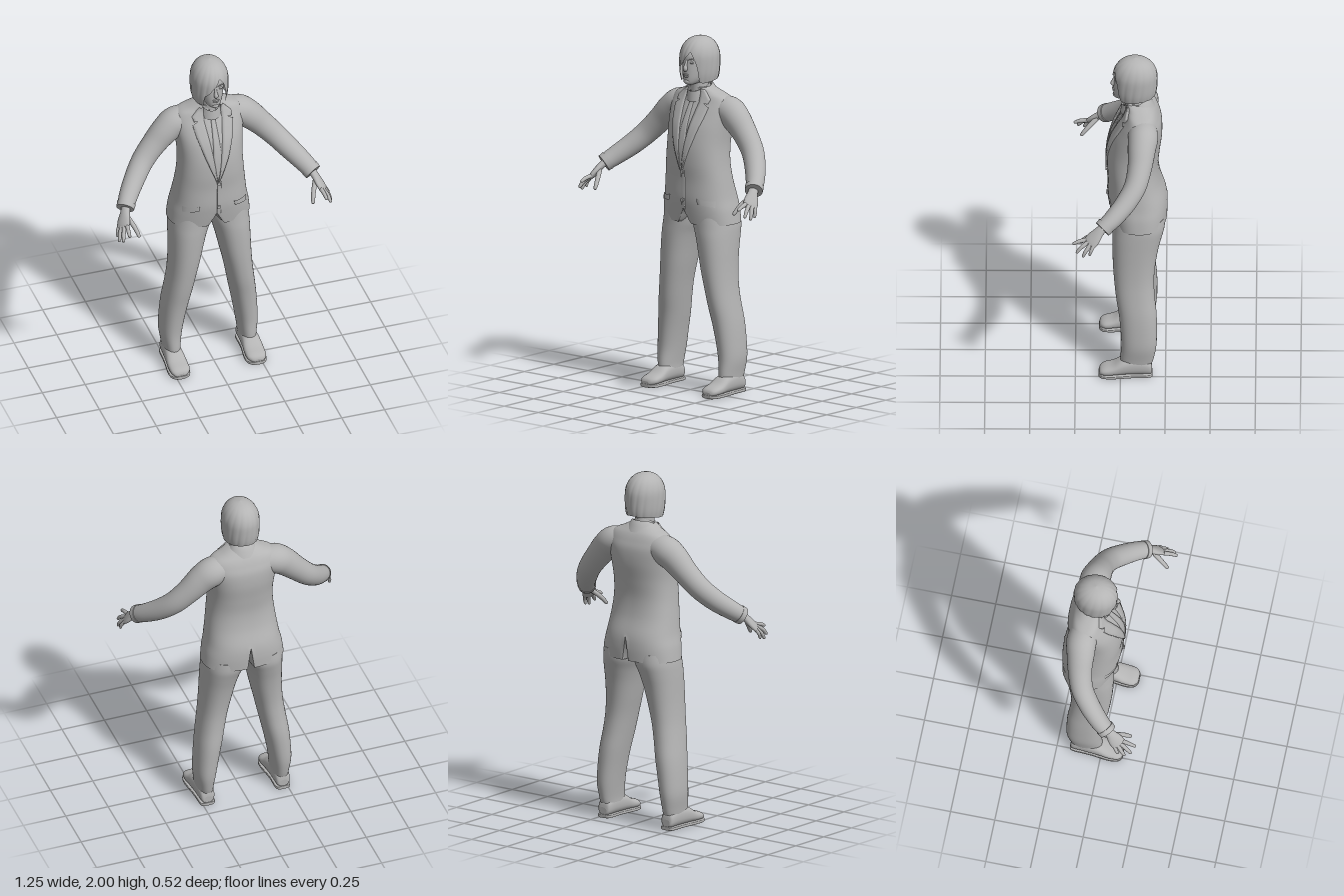
import * as THREE from 'three';

const cloth = new THREE.MeshStandardMaterial({ color: 0xb4b4b4, side: THREE.DoubleSide });
cloth.name = 'plain grey';

// Catmull-Rom interpolation of rows of numbers, k steps per span
function densify(rows, k) {
  const out = [], n = rows.length - 1;
  for (let i = 0; i < n; i++) for (let s = 0; s < k; s++) {
    const t = s / k, p = rows[Math.max(i - 1, 0)], q = rows[i], r = rows[i + 1], w = rows[Math.min(i + 2, n)];
    out.push(q.map((_, c) => q[c] + 0.5 * t * (r[c] - p[c] + t * (2 * p[c] - 5 * q[c] + 4 * r[c] - w[c] + t * (3 * (q[c] - r[c]) + w[c] - p[c])))));
  }
  out.push(rows[n]);
  return out;
}

// Linear lookup in [key, value...] rows with rising keys
function lookup(rows, key) {
  let i = 0;
  while (i < rows.length - 2 && rows[i + 1][0] < key) i++;
  const t = THREE.MathUtils.clamp((key - rows[i][0]) / (rows[i + 1][0] - rows[i][0]), 0, 1);
  return rows[i].map((v, c) => v + (rows[i + 1][c] - v) * t);
}

// Skin over rings of points; closed rings wrap around, capped rings get end fans
function skin(rings, closed = true, capped = true) {
  const n = rings[0].length, pos = rings.flat(2), idx = [];
  for (let i = 0; i < rings.length - 1; i++) for (let j = 0; j < (closed ? n : n - 1); j++) {
    const a = i * n + j, b = i * n + (j + 1) % n;
    idx.push(a, b, b + n, a, b + n, a + n);
  }
  if (capped) [rings[0], rings[rings.length - 1]].forEach((ring, e) => {
    const base = pos.length / 3;
    pos.push(...ring.flat(), ...[0, 1, 2].map(c => ring.reduce((s, p) => s + p[c], 0) / n));
    for (let j = 0; j < n; j++) {
      const a = base + j, b = base + (j + 1) % n;
      idx.push(...(e ? [a, b, base + n] : [b, a, base + n]));
    }
  });
  const P = i => new THREE.Vector3(pos[3 * i], pos[3 * i + 1], pos[3 * i + 2]);
  let volume = 0;
  if (closed) for (let i = 0; i < idx.length; i += 3) volume += P(idx[i]).dot(P(idx[i + 1]).cross(P(idx[i + 2])));
  if (volume < 0) idx.reverse();
  const g = new THREE.BufferGeometry();
  g.setAttribute('position', new THREE.Float32BufferAttribute(pos, 3));
  g.setIndex(idx);
  g.computeVertexNormals();
  return g;
}

// Superelliptic sections: rows of [along, u0, u1, v0, v1]
function loft(rows, p = 2.3, n = 40, map = (a, u, v) => [u, a, v], k = 4, capped = true) {
  const f = v => Math.sign(v) * Math.abs(v) ** (2 / p);
  return skin(densify(rows, k).map(([a, u0, u1, v0, v1]) => Array.from({ length: n }, (_, j) => {
    const t = j / n * Math.PI * 2;
    return map(a, (u0 + u1) / 2 + (u1 - u0) / 2 * f(Math.cos(t)), (v0 + v1) / 2 + (v1 - v0) / 2 * f(Math.sin(t)));
  })), true, capped);
}

// Tapered limb: rows of [x, y, z, width radius, thickness radius]
function limb(rows, wide, n = 20, k = 5) {
  const d = densify(rows, k), V = r => new THREE.Vector3(r[0], r[1], r[2]);
  return skin(d.map((r, i) => {
    const T = V(d[Math.min(i + 1, d.length - 1)]).sub(V(d[Math.max(i - 1, 0)])).normalize();
    const W = new THREE.Vector3(...wide), N = T.clone().cross(W).normalize();
    W.crossVectors(N, T);
    return Array.from({ length: n }, (_, j) => {
      const t = j / n * Math.PI * 2;
      return V(r).addScaledVector(W, r[3] * Math.cos(t)).addScaledVector(N, r[4] * Math.sin(t)).toArray();
    });
  }));
}

// Jacket body sections: y, half width, front z, back z
const body = [[0.955, 0.235, 0.05, -0.258], [1.03, 0.225, 0.062, -0.26], [1.1, 0.21, 0.07, -0.252], [1.2, 0.197, 0.07, -0.222],
  [1.3, 0.186, 0.075, -0.21], [1.4, 0.182, 0.07, -0.218], [1.5, 0.19, 0.048, -0.23], [1.58, 0.2, 0.012, -0.228],
  [1.63, 0.198, -0.015, -0.212], [1.665, 0.175, -0.03, -0.195], [1.69, 0.12, -0.035, -0.175], [1.715, 0.07, -0.03, -0.15]];
const bodyFine = densify(body, 6);
const bodyPower = 2.4;
function frontZ(x, y) {
  const [, w, f, b] = lookup(bodyFine, y);
  return (f + b) / 2 + (f - b) / 2 * (1 - Math.min(Math.abs(x) / w, 1) ** bodyPower) ** (1 / bodyPower);
}

// Thin panel lying on the jacket front between two edges of [y, x] points (y rising)
function drape(edgeA, edgeB, lift) {
  const at = (e, t) => lookup(e, e[0][0] + (e[e.length - 1][0] - e[0][0]) * t);
  const rings = [];
  for (let i = 0; i <= 24; i++) {
    const [ya, xa] = at(edgeA, i / 24), [yb, xb] = at(edgeB, i / 24);
    rings.push([0, 0, 0.25, 0.5, 0.75, 1, 1].map((u, j) => {
      const x = xa + (xb - xa) * u, y = ya + (yb - ya) * u;
      return [x, y, frontZ(x, y) + (j % 6 ? lift : -0.003)];
    }));
  }
  return skin(rings, false, false);
}

function hairGeometry() {
  const lower = [[-3.15, 1.768], [-1.8, 1.755], [-0.95, 1.745], [-0.7, 1.75], [-0.6, 1.815], [-0.3, 1.845], [0, 1.885],
    [0.28, 1.925], [0.5, 1.89], [0.68, 1.83], [0.78, 1.75], [1, 1.745], [1.8, 1.755], [3.15, 1.768]];
  const profile = densify([[1.74, 0.87], [1.79, 0.97], [1.85, 1], [1.9, 0.98], [1.94, 0.86], [1.97, 0.66], [1.99, 0.38], [2, 0]], 4);
  const rings = [];
  for (let i = 0; i <= 32; i++) rings.push(Array.from({ length: 120 }, (_, j) => {
    const t = (j / 120 * 2 - 1) * Math.PI, s = i / 32;
    const y = 2 - (2 - lookup(lower, t)[1]) * s ** 1.6;
    const r = lookup(profile, y)[1] * (1 - 0.03 * s * Math.abs(Math.sin(8 * t + 3 * s)) ** 6);
    return [0.106 * r * Math.sin(t), y, -0.08 + 0.125 * r * Math.cos(t)];
  }));
  return skin(rings, true, false);
}

const ball = (x, y, z, a, b, c) => new THREE.SphereGeometry(1, 20, 14).scale(a, b, c).translate(x, y, z);

export function createModel() {
  const model = new THREE.Group();
  model.name = 'suitedFigure';
  const add = (name, g) => {
    const m = new THREE.Mesh(g, cloth);
    m.name = name;
    model.add(m);
  };
  const pair = (name, g) => {
    add('left' + name, g);
    const h = g.clone().scale(-1, 1, 1);
    h.setIndex(Array.from(g.index.array).reverse());
    h.computeVertexNormals();
    add('right' + name, h);
  };

  // Jacket with a front cutaway and a back vent in the hem
  add('jacket', loft(body.map(([y, w, f, b]) => [y, -w, w, b, f]), bodyPower, 120, (y, x, z) => {
    const edge = z > -0.1 ? 0.955 + 0.085 * (1 - Math.abs(x) / 0.045) : 0.955 + 0.14 * (1 - Math.abs(x) / 0.018);
    return [x, Math.max(y, edge), z];
  }, 6));
  add('shirtFront', drape([[1.28, -0.004], [1.5, -0.04], [1.7, -0.06]], [[1.28, 0.004], [1.5, 0.04], [1.7, 0.06]], 0.003));
  add('tie', drape([[1.3, -0.014], [1.42, -0.023], [1.65, -0.011]], [[1.3, 0.014], [1.42, 0.023], [1.65, 0.011]], 0.008));
  add('tieKnot', drape([[1.645, -0.01], [1.695, -0.019]], [[1.645, 0.01], [1.695, 0.019]], 0.014));
  pair('Lapel', drape([[1.26, 0.001], [1.5, 0.034], [1.655, 0.056]], [[1.26, 0.006], [1.42, 0.066], [1.55, 0.106], [1.615, 0.118]], 0.01));
  pair('CollarLeaf', drape([[1.64, 0.052], [1.71, 0.05]], [[1.632, 0.108], [1.655, 0.115], [1.705, 0.066]], 0.011));
  pair('PocketFlap', drape([[1.075, 0.105], [1.105, 0.1]], [[1.06, 0.187], [1.095, 0.185]], 0.008));
  add('frontClosure', drape([[1.04, -0.002], [1.26, -0.002]], [[1.04, 0.02], [1.26, 0.02]], 0.004));
  for (const y of [1.09, 1.25])
    add('jacketButton', new THREE.CylinderGeometry(0.011, 0.011, 0.01, 16).rotateX(Math.PI / 2).translate(0.006, y, frontZ(0, y) + 0.006));

  // Collars slope down toward the front
  const slope = (y, x, z) => [x, y - Math.max(0, z + 0.13) * 0.42, z];
  add('jacketCollar', loft([[1.675, -0.1, 0.1, -0.19, -0.01], [1.715, -0.078, 0.078, -0.168, -0.012], [1.735, -0.066, 0.066, -0.152, -0.018]], 2, 40, slope, 4, false));
  add('shirtCollar', loft([[1.69, -0.066, 0.066, -0.15, 0.002], [1.745, -0.056, 0.056, -0.14, -0.006]], 2, 40, slope, 4, false));
  add('neck', loft([[1.66, -0.052, 0.052, -0.14, -0.025], [1.72, -0.048, 0.048, -0.132, -0.025], [1.79, -0.05, 0.05, -0.14, -0.02]], 2, 32));

  // Head, face and hair
  add('head', loft([[1.735, -0.02, 0.02, -0.035, 0.026], [1.745, -0.036, 0.036, -0.075, 0.037], [1.77, -0.054, 0.054, -0.13, 0.04],
    [1.8, -0.064, 0.064, -0.16, 0.04], [1.835, -0.071, 0.071, -0.18, 0.038], [1.87, -0.076, 0.076, -0.185, 0.033],
    [1.91, -0.076, 0.076, -0.18, 0.024], [1.95, -0.055, 0.055, -0.14, -0.02]], 2.1, 40));
  add('nose', limb([[0, 1.875, 0.03, 0.006, 0.006], [0, 1.85, 0.038, 0.008, 0.009], [0, 1.828, 0.044, 0.013, 0.013], [0, 1.817, 0.038, 0.009, 0.008]], [1, 0, 0]));
  add('upperLip', ball(0, 1.794, 0.039, 0.021, 0.005, 0.008));
  add('lowerLip', ball(0, 1.784, 0.038, 0.017, 0.006, 0.008));
  add('chin', ball(0, 1.754, 0.03, 0.02, 0.014, 0.014));
  pair('Eye', ball(0.031, 1.862, 0.024, 0.013, 0.006, 0.008));
  pair('Brow', limb([[0.012, 1.878, 0.033, 0.002, 0.003], [0.032, 1.884, 0.028, 0.003, 0.004], [0.052, 1.877, 0.014, 0.002, 0.002]], [0, 1, 0], 10));
  add('hair', hairGeometry());

  // Sleeves and hands
  pair('Sleeve', limb([[0.1, 1.6, -0.12, 0.075, 0.07], [0.18, 1.585, -0.125, 0.084, 0.084], [0.24, 1.545, -0.118, 0.078, 0.08], [0.31, 1.475, -0.108, 0.068, 0.07],
    [0.385, 1.395, -0.082, 0.062, 0.064], [0.45, 1.325, -0.028, 0.058, 0.06], [0.51, 1.265, 0.04, 0.052, 0.054], [0.545, 1.228, 0.092, 0.046, 0.048]], [0, 0, 1], 32));
  pair('Cuff', limb([[0.535, 1.239, 0.077, 0.052, 0.053], [0.549, 1.223, 0.098, 0.05, 0.05]], [0, 0, 1], 32));
  for (let i = 0; i < 3; i++) pair('CuffButton', ball(0.556 - i * 0.014, 1.238 + i * 0.014, 0.038 - i * 0.014, 0.007, 0.007, 0.007));
  const spread = [-0.04, 0.015, 0.06];
  pair('Palm', limb([[0.54, 1.235, 0.085, 0.026, 0.022], [0.555, 1.21, 0.115, 0.029, 0.02], [0.57, 1.18, 0.143, 0.04, 0.018],
    [0.582, 1.155, 0.165, 0.041, 0.015], [0.588, 1.143, 0.175, 0.034, 0.009]], spread));
  const fingers = [['Thumb', [0.548, 1.19, 0.135], [0.522, 1.145, 0.185], [0.506, 1.1, 0.224], 0.013],
    ['IndexFinger', [0.566, 1.163, 0.188], [0.572, 1.155, 0.228], [0.575, 1.14, 0.263], 0.011],
    ['MiddleFinger', [0.58, 1.155, 0.178], [0.597, 1.132, 0.215], [0.606, 1.1, 0.242], 0.011],
    ['RingFinger', [0.59, 1.15, 0.163], [0.61, 1.118, 0.188], [0.618, 1.082, 0.207], 0.011],
    ['LittleFinger', [0.598, 1.148, 0.145], [0.614, 1.12, 0.16], [0.616, 1.09, 0.17], 0.0095]];
  for (const [name, a, b, c, r] of fingers) {
    const end = c.map((v, i) => v - (c[i] - b[i]) * 0.15);
    pair(name, limb([[...a, r * 1.1, r * 1.1], [...b, r, r], [...end, r * 0.75, r * 0.75], [...c, r * 0.2, r * 0.2]], spread, 12));
  }

  // Trousers
  pair('TrouserLeg', loft([[0.085, 0.175, 0.267, -0.178, 0], [0.12, 0.173, 0.271, -0.187, 0], [0.2, 0.162, 0.281, -0.2, -0.005], [0.3, 0.145, 0.277, -0.202, 0],
    [0.4, 0.125, 0.268, -0.2, 0.01], [0.5, 0.105, 0.254, -0.19, 0.025], [0.6, 0.085, 0.241, -0.186, 0.035], [0.7, 0.062, 0.234, -0.194, 0.042],
    [0.8, 0.04, 0.231, -0.21, 0.045], [0.88, 0.018, 0.229, -0.23, 0.045], [0.94, -0.006, 0.226, -0.245, 0.042], [1, -0.02, 0.218, -0.245, 0.04]], 2.25, 48));

  // Shoes
  const lengthwise = (z, x, y) => [x, y, z];
  pair('Shoe', loft([[-0.175, 0.198, 0.248, 0.02, 0.06], [-0.162, 0.182, 0.262, 0.012, 0.1], [-0.1, 0.176, 0.27, 0.012, 0.125], [-0.02, 0.171, 0.276, 0.012, 0.112],
    [0.04, 0.166, 0.28, 0.012, 0.076], [0.088, 0.168, 0.277, 0.012, 0.06], [0.11, 0.185, 0.265, 0.013, 0.048], [0.118, 0.202, 0.25, 0.015, 0.034]], 2.4, 32, lengthwise));
  pair('Sole', loft([[-0.178, 0.2, 0.248, 0, 0.02], [-0.16, 0.179, 0.265, 0, 0.02], [-0.06, 0.177, 0.271, 0, 0.02],
    [0.04, 0.163, 0.283, 0, 0.02], [0.09, 0.166, 0.28, 0, 0.02], [0.112, 0.182, 0.267, 0, 0.02], [0.121, 0.203, 0.25, 0, 0.02]], 6, 32, lengthwise));
  return model;
}
